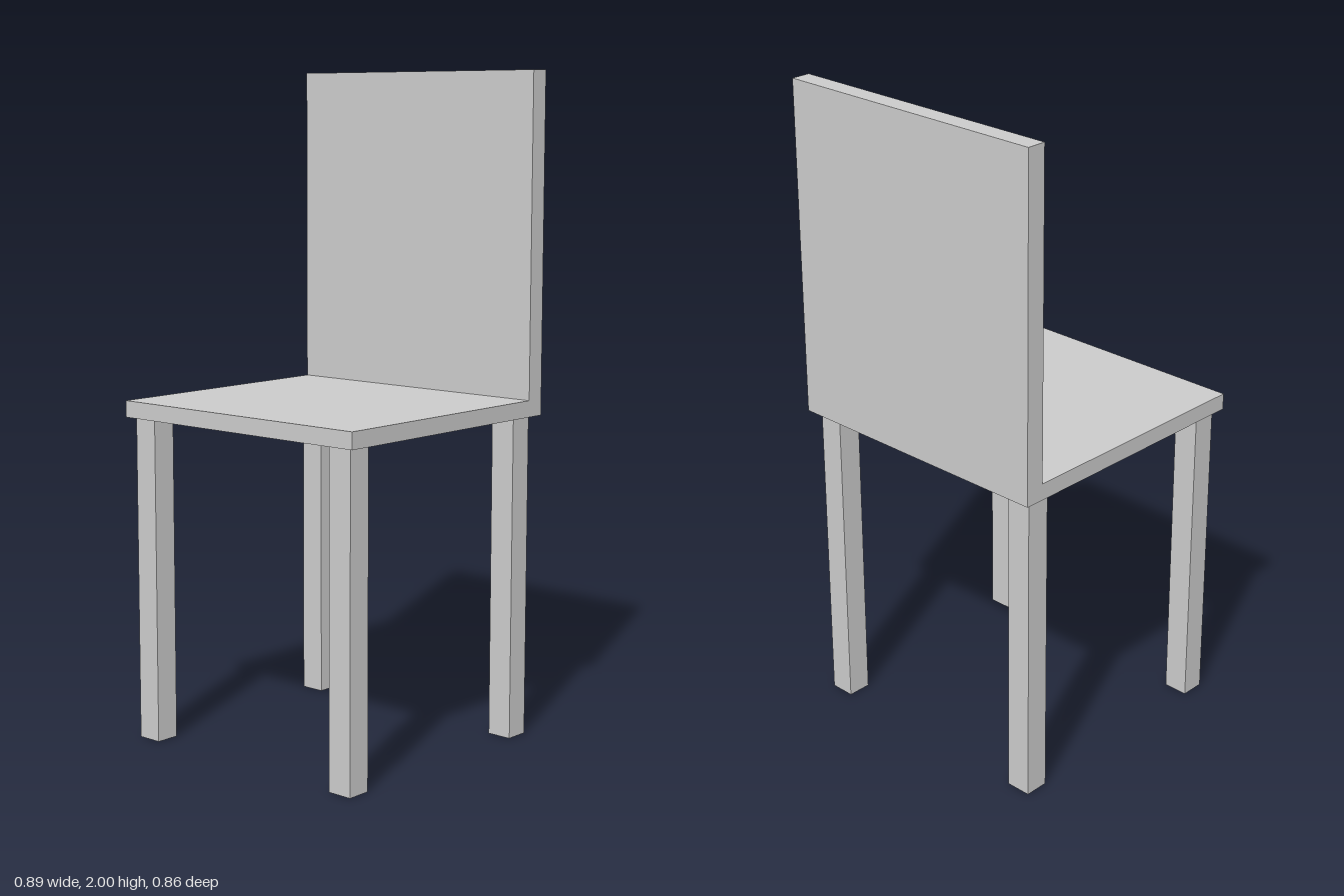
import * as THREE from 'three';

const WIDTH = 0.894;
const SEAT_BOTTOM = 0.98, SEAT_TOP = 1.03, TOP = 2;
const FRONT = 0.428, BACK = -0.428, BACKREST_FRONT = -0.368;

export function createModel() {
  const model = new THREE.Group();
  model.name = 'chair';
  const material = new THREE.MeshStandardMaterial({ color: 0xcccccc, flatShading: true });

  // Seat and backrest: one L-shaped side profile (z, y) extruded across the width
  const profile = new THREE.Shape([
    [BACK, SEAT_BOTTOM], [FRONT, SEAT_BOTTOM], [FRONT, SEAT_TOP],
    [BACKREST_FRONT, SEAT_TOP], [BACKREST_FRONT, TOP], [BACK, TOP],
  ].map(([z, y]) => new THREE.Vector2(z, y)));
  const shell = new THREE.ExtrudeGeometry(profile, { depth: WIDTH, bevelEnabled: false });
  shell.translate(0, 0, -WIDTH / 2).rotateY(-Math.PI / 2);
  const seat = new THREE.Mesh(shell, material);
  seat.name = 'seatAndBackrest';
  model.add(seat);

  // Four square legs, set slightly off centre under the seat
  const legGeometry = new THREE.BoxGeometry(0.078, SEAT_BOTTOM, 0.075);
  for (const [side, x] of [['Right', -0.379], ['Left', 0.389]]) {
    for (const [end, z] of [['front', 0.376], ['back', -0.354]]) {
      const leg = new THREE.Mesh(legGeometry, material);
      leg.name = `${end}${side}Leg`;
      leg.position.set(x, SEAT_BOTTOM / 2, z);
      model.add(leg);
    }
  }
  return model;
}
